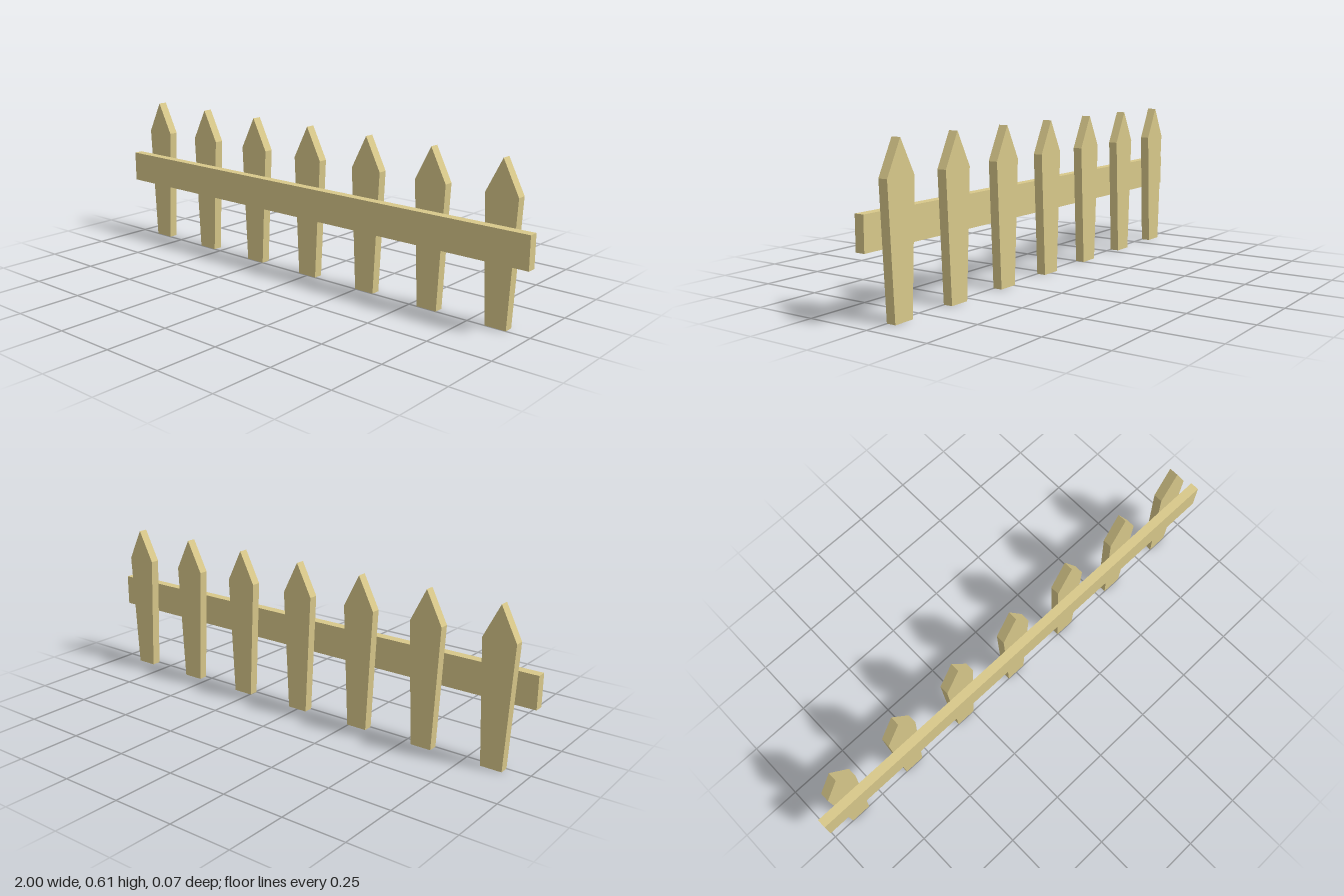
import * as THREE from 'three';

const DEPTH = 0.037;

export function createModel() {
  const fence = new THREE.Group();
  fence.name = 'fence';
  const wood = new THREE.MeshStandardMaterial({ color: 0xd8c88a, flatShading: true });

  // Picket outline: tapered toward the ground, pointed at the top
  const outline = new THREE.Shape();
  outline.moveTo(-0.042, 0);
  outline.lineTo(0.042, 0);
  outline.lineTo(0.065, 0.477);
  outline.lineTo(0, 0.605);
  outline.lineTo(-0.065, 0.477);
  outline.closePath();
  const picketGeometry = new THREE.ExtrudeGeometry(outline, { depth: DEPTH, bevelEnabled: false });
  picketGeometry.translate(0, 0, -DEPTH);

  // Row of seven evenly spaced pickets behind the rail
  for (let i = -3; i <= 3; i++) {
    const picket = new THREE.Mesh(picketGeometry, wood);
    picket.name = `picket${i + 4}`;
    picket.position.x = i * 0.288;
    fence.add(picket);
  }

  // Single horizontal rail across the front
  const rail = new THREE.Mesh(new THREE.BoxGeometry(2, 0.125, DEPTH), wood);
  rail.name = 'rail';
  rail.position.set(0, 0.309, DEPTH / 2);
  fence.add(rail);

  return fence;
}
